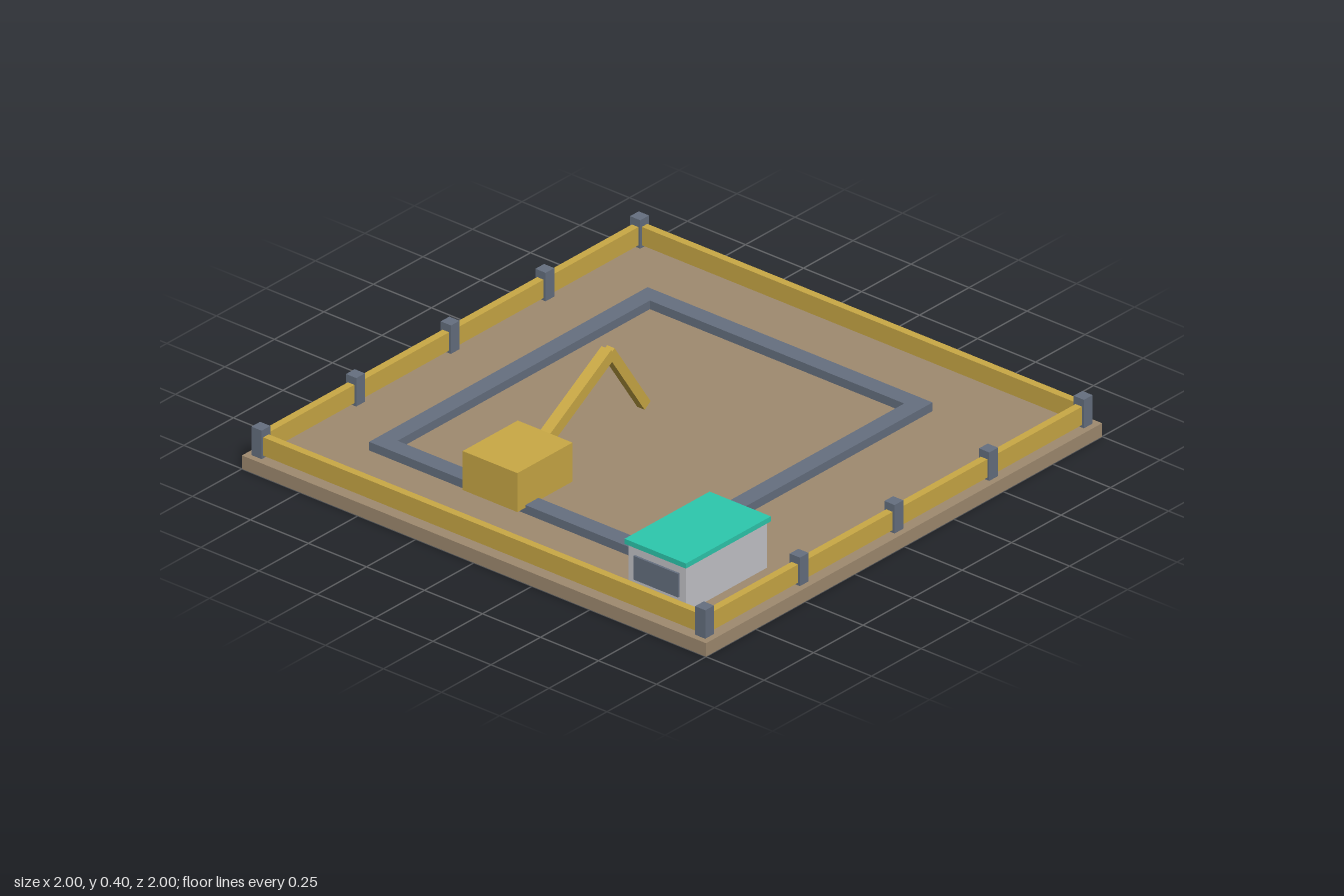
import * as THREE from 'three';

const material = (name, color) => {
  const m = new THREE.MeshStandardMaterial({ color });
  m.name = name;
  return m;
};

export function createModel() {
  const model = new THREE.Group();
  model.name = 'constructionSite';

  const earth = material('earth brown', 0xa08b70);
  const yellow = material('machine yellow', 0xcaa945);
  const slate = material('slate grey', 0x667080);
  const wall = material('light grey', 0xc5c5ca);
  const teal = material('teal', 0x2dc9ae);

  // Box given by its extents on each axis
  function box(name, mat, [x0, x1], [y0, y1], [z0, z1], parent = model) {
    const mesh = new THREE.Mesh(new THREE.BoxGeometry(x1 - x0, y1 - y0, z1 - z0), mat);
    mesh.position.set((x0 + x1) / 2, (y0 + y1) / 2, (z0 + z1) / 2);
    mesh.name = name;
    parent.add(mesh);
    return mesh;
  }

  // Ground slab
  box('ground', earth, [-1, 1], [0, 0.05], [-1, 1]);

  // Perimeter fence: posts along front and back, rails on all four sides
  const fence = new THREE.Group();
  fence.name = 'fence';
  model.add(fence);
  const edge = 0.956;
  for (const s of [-1, 1]) {
    const c = s * edge;
    const across = [c - 0.014, c + 0.014];
    box('longRail', yellow, [-edge, edge], [0.06, 0.128], across, fence);
    box('sideRail', yellow, across, [0.06, 0.128], [-edge, edge], fence);
    for (let i = -2; i <= 2; i++) {
      const x = i * edge / 2;
      box('fencePost', slate, [x - 0.022, x + 0.022], [0.05, 0.156], [c - 0.022, c + 0.022], fence);
    }
  }

  // Rectangular foundation ring
  const rectangle = (P, x0, x1, z0, z1) => new P([
    new THREE.Vector2(x0, -z1), new THREE.Vector2(x1, -z1),
    new THREE.Vector2(x1, -z0), new THREE.Vector2(x0, -z0),
  ]);
  const ring = rectangle(THREE.Shape, -0.703, 0.703, -0.705, 0.523);
  ring.holes.push(rectangle(THREE.Path, -0.637, 0.637, -0.639, 0.457));
  const foundation = new THREE.Mesh(
    new THREE.ExtrudeGeometry(ring, { depth: 0.032, bevelEnabled: false }), slate);
  foundation.rotation.x = -Math.PI / 2;
  foundation.position.y = 0.05;
  foundation.name = 'foundation';
  model.add(foundation);

  // Digger: body with a two-piece arm
  const digger = new THREE.Group();
  digger.name = 'digger';
  model.add(digger);
  box('diggerBody', yellow, [-0.743, -0.465], [0.072, 0.217], [-0.268, -0.032], digger);
  function arm(name, x0, y0, x1, y1, thickness, width) {
    const mesh = new THREE.Mesh(
      new THREE.BoxGeometry(Math.hypot(x1 - x0, y1 - y0), thickness, width), yellow);
    mesh.position.set((x0 + x1) / 2, (y0 + y1) / 2, -0.15);
    mesh.rotation.z = Math.atan2(y1 - y0, x1 - x0);
    mesh.name = name;
    digger.add(mesh);
  }
  arm('boom', -0.52, 0.157, -0.145, 0.383, 0.042, 0.042);
  arm('stick', -0.148, 0.387, 0.034, 0.115, 0.036, 0.032);

  // Site cabin with a window at each end
  const cabin = new THREE.Group();
  cabin.name = 'cabin';
  model.add(cabin);
  box('cabinWalls', wall, [-0.882, -0.472], [0.05, 0.221], [0.565, 0.813], cabin);
  box('cabinRoof', teal, [-0.892, -0.463], [0.221, 0.24], [0.557, 0.821], cabin);
  for (const [x0, x1] of [[-0.89, -0.882], [-0.472, -0.464]]) {
    box('cabinWindow', slate, [x0, x1], [0.1, 0.188], [0.593, 0.785], cabin);
  }

  return model;
}
